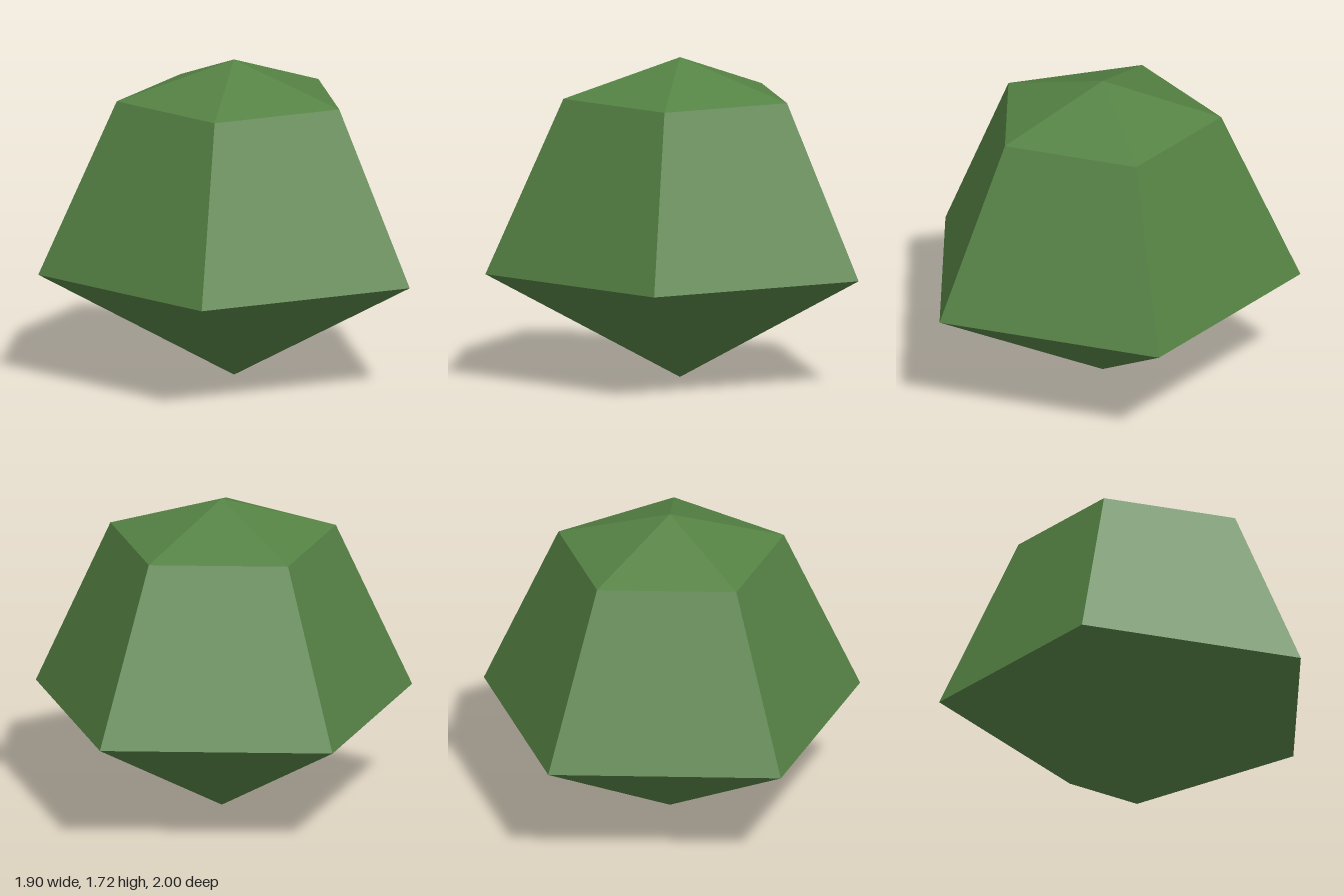
import * as THREE from 'three';

export function createModel() {
  const group = new THREE.Group();
  group.name = 'facetedBush';

  const leafGreen = new THREE.MeshStandardMaterial({ color: 0x558244 });
  leafGreen.name = 'leaf green';

  // Five-sided profile: bottom tip, wide rim, shoulder, top tip
  const profile = [[0, 0], [1.0515, 0.58], [0.63, 1.51], [0, 1.717]]
    .map(([r, y]) => new THREE.Vector2(r, y));

  // Start at +x so that one corner points to the model's left
  const geometry = new THREE.LatheGeometry(profile, 5, Math.PI / 2).toNonIndexed();
  geometry.computeVertexNormals(); // one normal per facet

  const foliage = new THREE.Mesh(geometry, leafGreen);
  foliage.name = 'foliage';
  foliage.position.x = -0.1; // centres the pentagon's bounds
  group.add(foliage);

  return group;
}
